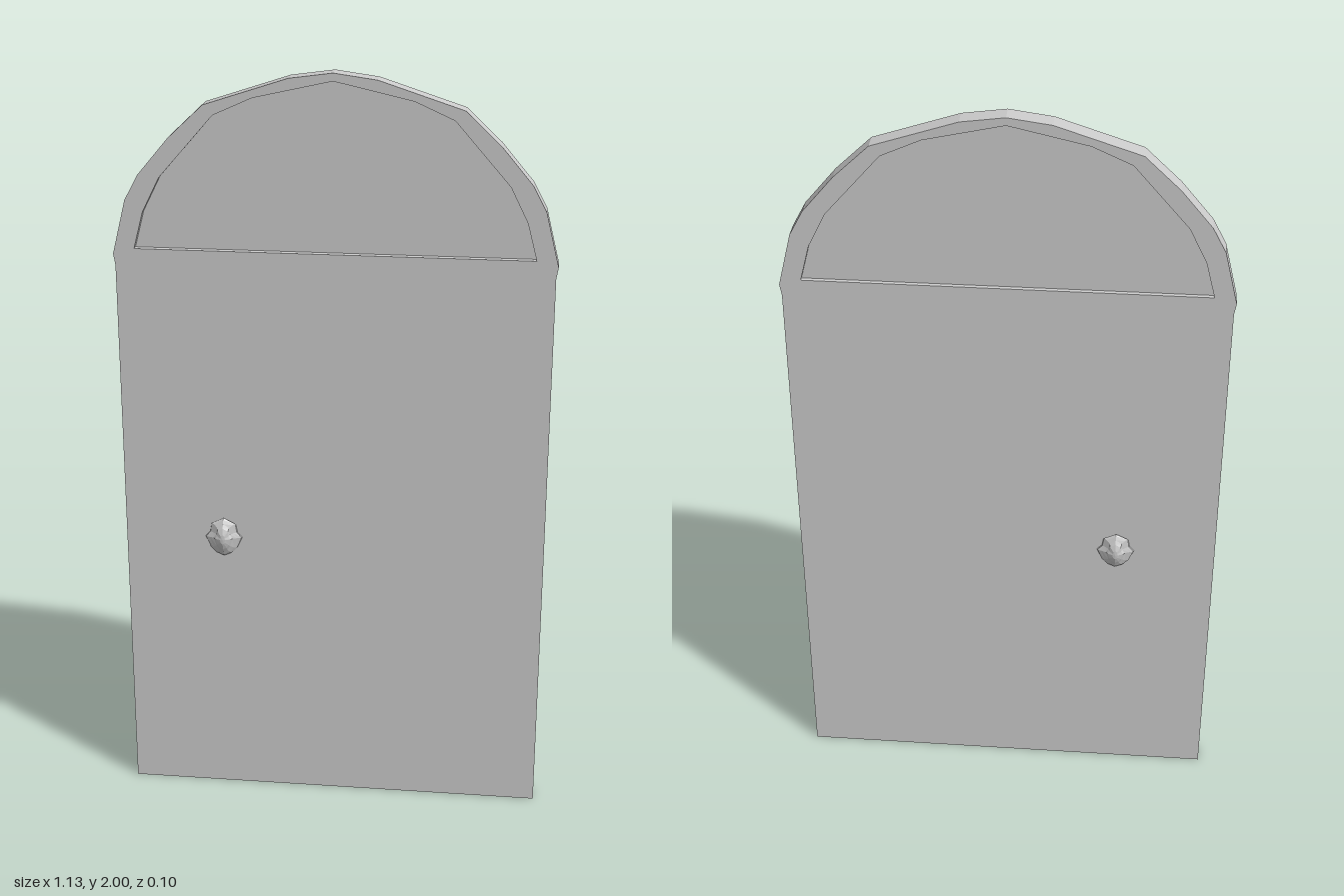
import * as THREE from 'three';

const material = new THREE.MeshStandardMaterial({ color: 0xcccccc, flatShading: true, side: THREE.DoubleSide });
const BACK = -0.02, FRONT = 0.03;

// Half outlines, from the springing of the arch to its crown
const archHalf = [[0.56, 1.5], [0.565, 1.53], [0.53, 1.67], [0.495, 1.735], [0.415, 1.83], [0.325, 1.915], [0.11, 1.985]];
const windowHalf = [[0.51, 1.545], [0.485, 1.64], [0.44, 1.73], [0.3, 1.89], [0.2, 1.935]];

function mirrored(half, crown) {
  const left = half.map(([x, y]) => [-x, y]).reverse();
  return [...half, [0, crown], ...left].map(([x, y]) => new THREE.Vector2(x, y));
}

function slab(name, shape, z0, z1) {
  const geometry = new THREE.ExtrudeGeometry(shape, { depth: z1 - z0, bevelEnabled: false });
  const mesh = new THREE.Mesh(geometry, material);
  mesh.position.z = z0;
  mesh.name = name;
  return mesh;
}

// Faceted ornamental knob, lofted from shrinking copies of its outline
function knobGeometry() {
  const outline = [[0, 0.055], [-0.033, 0.04], [-0.037, 0.015], [-0.05, 0], [-0.037, -0.03], [-0.022, -0.045],
    [0, -0.054], [0.022, -0.045], [0.037, -0.03], [0.05, 0], [0.037, 0.015], [0.033, 0.04]];
  // x scale, y scale, height above the door face
  const rings = [[1, 0.9, 0], [0.96, 1, 0.004], [0.75, 0.92, 0.008], [0.5, 0.75, 0.013], [0.42, 0.55, 0.019], [0.15, 0.25, 0.025]];
  const positions = [], index = [], n = outline.length;
  for (const [sx, sy, z] of rings) for (const [x, y] of outline) positions.push(x * sx, y * sy, z);
  for (let r = 0; r < rings.length - 1; r++) {
    for (let i = 0; i < n; i++) {
      const a = r * n + i, b = r * n + (i + 1) % n;
      index.push(a, b, b + n, a, b + n, a + n);
    }
  }
  positions.push(0, 0, 0.026);
  const last = (rings.length - 1) * n;
  for (let i = 0; i < n; i++) index.push(last + i, last + (i + 1) % n, last + n);
  const geometry = new THREE.BufferGeometry();
  geometry.setAttribute('position', new THREE.Float32BufferAttribute(positions, 3));
  geometry.setIndex(index);
  geometry.computeVertexNormals();
  return geometry;
}

export function createModel() {
  const group = new THREE.Group();
  group.name = 'archedDoor';

  // Door leaf with an opening under the arch
  const leaf = new THREE.Shape([new THREE.Vector2(-0.56, 0), new THREE.Vector2(0.56, 0), ...mirrored(archHalf, 2)]);
  const opening = mirrored(windowHalf, 1.98);
  leaf.holes.push(new THREE.Path(opening));
  group.add(slab('doorLeaf', leaf, BACK, FRONT));

  // Recessed pane
  group.add(slab('windowPane', new THREE.Shape(opening), -0.008, 0.012));

  // A knob on each face
  const geometry = knobGeometry();
  for (const [name, z, turn] of [['frontKnob', FRONT, 0], ['backKnob', BACK, Math.PI]]) {
    const knob = new THREE.Mesh(geometry, material);
    knob.position.set(-0.295, 0.755, z);
    knob.rotation.y = turn;
    knob.name = name;
    group.add(knob);
  }
  return group;
}
